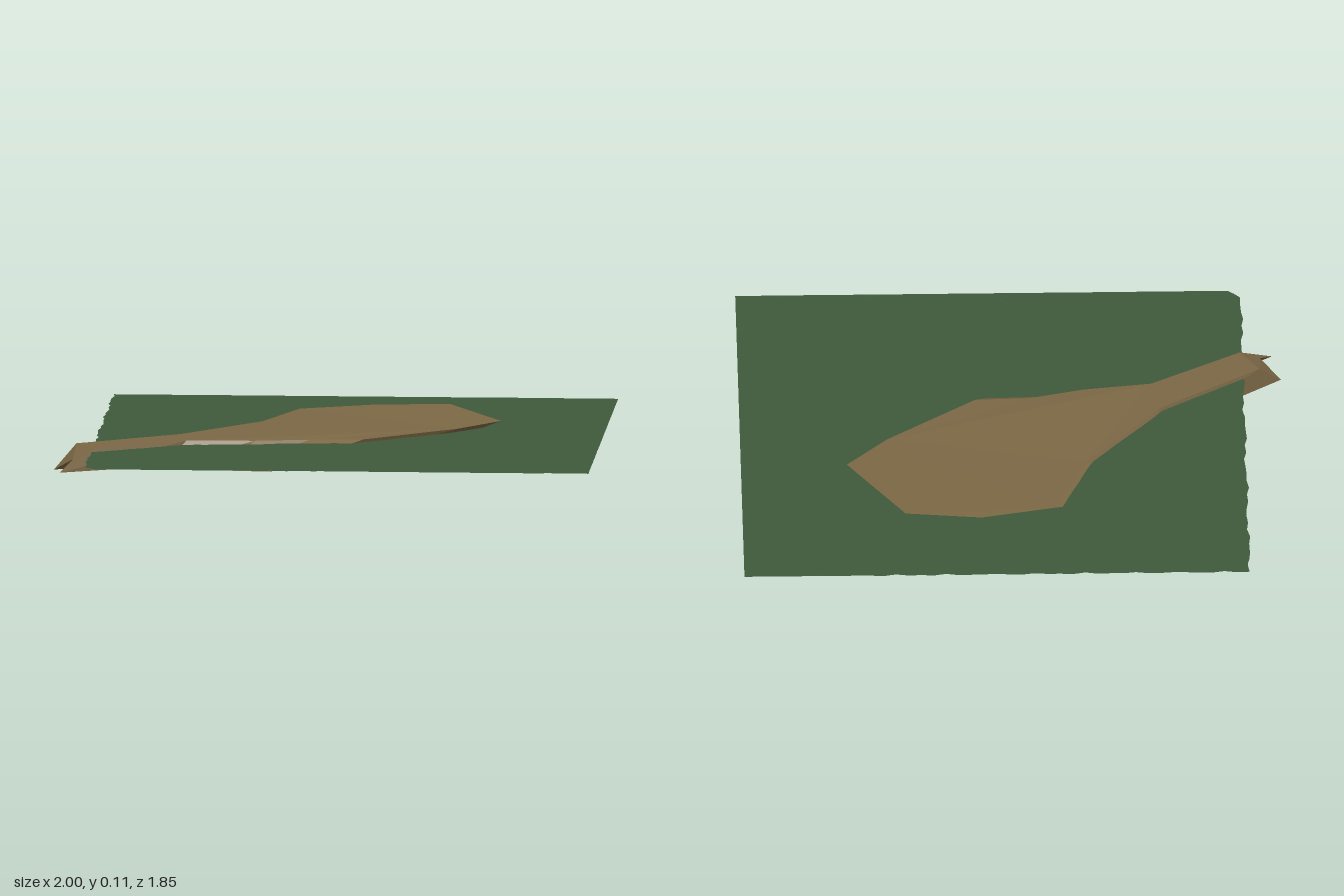
import * as THREE from 'three';

// Paired outline points: top rim [x, y, z] and the matching sheared base point
const RIM = [
  [-0.92, 0.1, 0.39], [-0.55, 0.1, 0.14], [-0.27, 0.097, -0.21], [-0.15, 0.1, -0.51],
  [0.12, 0.107, -0.58], [0.4, 0.115, -0.56], [0.61, 0.105, -0.22], [0.46, 0.1, -0.05],
  [0.13, 0.097, 0.21], [-0.07, 0.095, 0.22], [-0.27, 0.097, 0.27], [-0.52, 0.1, 0.3], [-0.85, 0.1, 0.5],
];
const BASE = [
  [-1, 0.01, 0.45], [-0.6, 0.01, 0.16], [-0.45, 0.01, -0.05], [-0.34, 0.005, -0.33],
  [0.0, 0.002, -0.37], [0.08, 0.005, -0.37], [0.37, 0.03, -0.09], [0.26, 0.02, 0.04],
  [-0.02, 0.01, 0.27], [-0.21, 0.005, 0.42], [-0.38, 0.005, 0.4], [-0.6, 0.012, 0.35], [-0.97, 0.02, 0.59],
];
const NOTCH = [-0.925, 0.06, 0.52]; // groove under the narrow tail
const RIDGE = [-0.58, 0.03, 0.26];

function createPath() {
  const pos = [];
  const tri = (...pts) => pts.forEach((p) => pos.push(...p));
  const quad = (a, b, c, d) => { tri(a, b, c); tri(a, c, d); };

  // Fill an outline, facing up (+1) or down (-1)
  const fill = (pts, facing) => {
    const flat = pts.map((p) => new THREE.Vector2(p[0], -p[2]));
    for (const [i, j, k] of THREE.ShapeUtils.triangulateShape(flat, [])) {
      const area = THREE.ShapeUtils.area([flat[i], flat[j], flat[k]]);
      if (area * facing > 0) tri(pts[i], pts[j], pts[k]);
      else tri(pts[i], pts[k], pts[j]);
    }
  };

  fill(RIM, 1);
  fill([...BASE.slice(1, 12), RIDGE], -1);

  // Sloping sides
  for (let i = 0; i < RIM.length - 1; i++) quad(RIM[i], RIM[i + 1], BASE[i + 1], BASE[i]);

  // Grooved underside and slanted end of the tail
  quad(BASE[0], BASE[1], RIDGE, NOTCH);
  quad(NOTCH, RIDGE, BASE[11], BASE[12]);
  tri(RIM[12], RIM[0], NOTCH);
  tri(RIM[0], BASE[0], NOTCH);
  tri(BASE[12], RIM[12], NOTCH);

  const geo = new THREE.BufferGeometry();
  geo.setAttribute('position', new THREE.Float32BufferAttribute(pos, 3));
  geo.computeVertexNormals();
  const mesh = new THREE.Mesh(geo, new THREE.MeshStandardMaterial({
    color: 0x7c6845, flatShading: true, side: THREE.DoubleSide,
  }));
  mesh.name = 'dirtPath';
  return mesh;
}

function createGrass() {
  const n = 40;
  const geo = new THREE.PlaneGeometry(1.86, 1.85, n, n);
  geo.rotateX(-Math.PI / 2);
  geo.translate(0.07, 0.085, 0.003);
  const p = geo.attributes.position;
  for (let r = 0; r <= n; r++) {
    for (let c = 0; c <= n; c++) {
      const i = r * (n + 1) + c;
      const wave = Math.sin(c * 2.3 + r * 1.7) * Math.sin(r * 0.9 - c * 0.6);
      p.setY(i, p.getY(i) + wave * 0.001);
      // Ragged left and back edges, clipped front corner
      if (c === 0) p.setX(i, p.getX(i) + wave * 0.008);
      if (r === 0 && c < n * 0.75) p.setZ(i, p.getZ(i) + wave * 0.005);
      if (r === n && c === 0) p.setXYZ(i, -0.837, 0.085, 0.907);
    }
  }
  geo.computeVertexNormals();
  const mesh = new THREE.Mesh(geo, new THREE.MeshStandardMaterial({
    color: 0x3f5a3c, side: THREE.DoubleSide,
  }));
  mesh.name = 'grass';
  return mesh;
}

export function createModel() {
  const group = new THREE.Group();
  group.name = 'groundPatch';
  group.add(createGrass(), createPath());
  return group;
}
